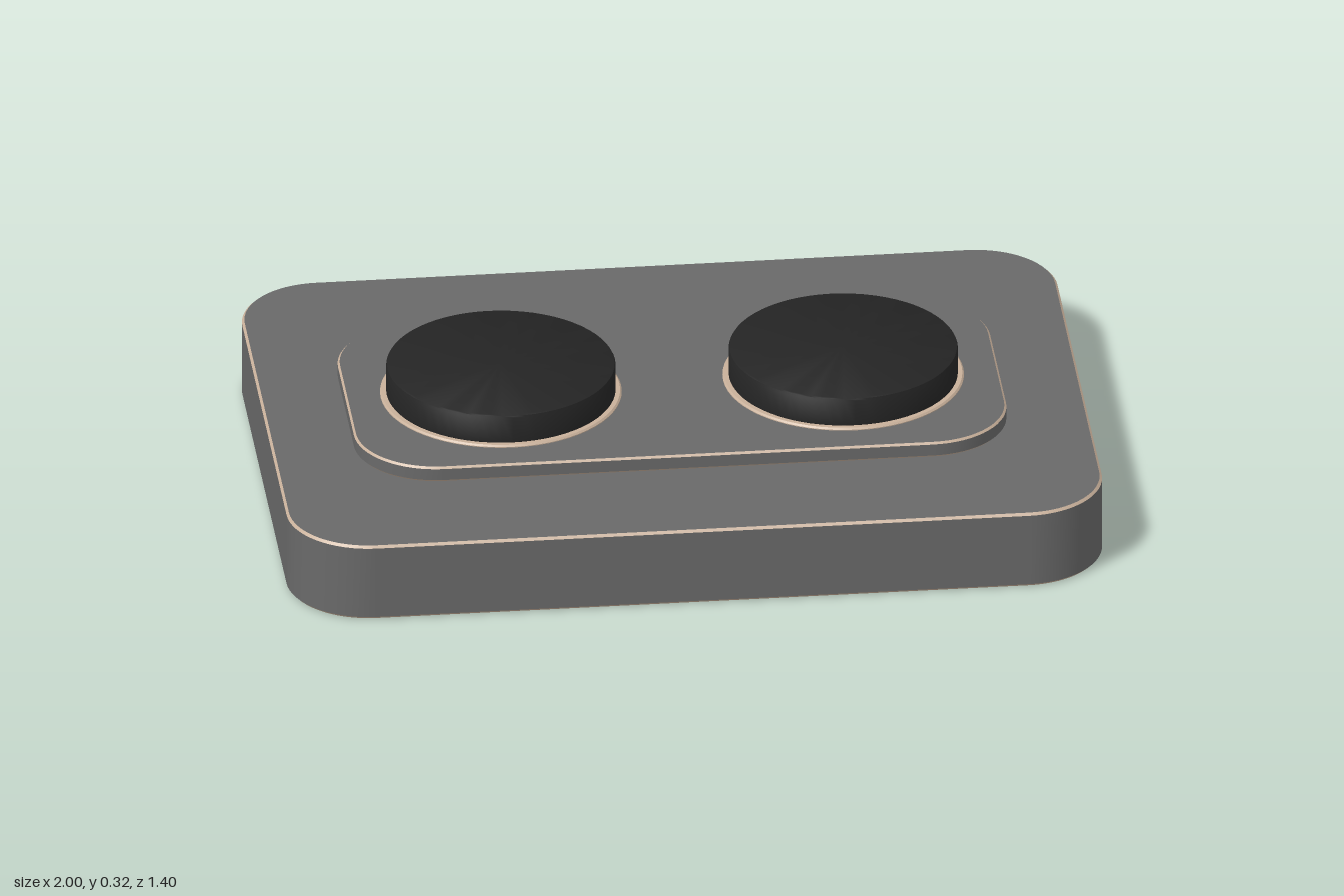
import * as THREE from 'three';
import { toCreasedNormals } from 'three/addons/utils/BufferGeometryUtils.js';

const grey = new THREE.MeshStandardMaterial({ color: 0x696969 });
const black = new THREE.MeshStandardMaterial({ color: 0x242424 });
const tan = new THREE.MeshStandardMaterial({ color: 0xc8b09a });

function addMesh(group, name, geometry, material) {
  const mesh = new THREE.Mesh(geometry, material);
  mesh.name = name;
  group.add(mesh);
  return mesh;
}

// Rounded rectangle outline, counter-clockwise
function outline(halfX, halfZ, radius, inset) {
  const points = [];
  const signs = [[1, 1], [-1, 1], [-1, -1], [1, -1]];
  signs.forEach(([sx, sz], corner) => {
    for (let k = 0; k <= 16; k++) {
      const a = (corner + k / 16) * Math.PI / 2;
      points.push(new THREE.Vector2(
        sx * (halfX - radius) + (radius - inset) * Math.cos(a),
        sz * (halfZ - radius) + (radius - inset) * Math.sin(a)));
    }
  });
  return points;
}

// Closed strip joining a lower outline to an upper one
function band(lower, y0, upper, y1) {
  const n = lower.length;
  const positions = [];
  const index = [];
  lower.forEach((p) => positions.push(p.x, y0, -p.y));
  upper.forEach((p) => positions.push(p.x, y1, -p.y));
  for (let i = 0; i < n; i++) {
    const j = (i + 1) % n;
    index.push(i, j, n + j, i, n + j, n + i);
  }
  const geometry = new THREE.BufferGeometry();
  geometry.setAttribute('position', new THREE.Float32BufferAttribute(positions, 3));
  geometry.setIndex(index);
  geometry.computeVertexNormals();
  return geometry;
}

// Rounded slab with thin trimmed edges at top and bottom
function slab(name, halfX, halfZ, radius, y0, y1, bevel) {
  const group = new THREE.Group();
  group.name = name;
  const full = outline(halfX, halfZ, radius, 0);
  const inner = outline(halfX, halfZ, radius, bevel);
  const cap = new THREE.Shape(inner);
  addMesh(group, 'wall', band(full, y0 + bevel, full, y1 - bevel), grey);
  addMesh(group, 'topTrim', band(full, y1 - bevel, inner, y1), tan);
  addMesh(group, 'bottomTrim', band(inner, y0, full, y0 + bevel), tan);
  addMesh(group, 'topFace', new THREE.ShapeGeometry(cap).rotateX(-Math.PI / 2).translate(0, y1, 0), grey);
  addMesh(group, 'bottomFace', new THREE.ShapeGeometry(cap).rotateX(Math.PI / 2).translate(0, y0, 0), grey);
  return group;
}

function turned(profile) {
  const points = profile.map(([r, y]) => new THREE.Vector2(r, y));
  return toCreasedNormals(new THREE.LatheGeometry(points, 64), 0.5);
}

export function createModel() {
  const model = new THREE.Group();
  model.name = 'twinButtonPanel';

  // Base and raised plate
  model.add(slab('base', 1, 0.7, 0.2, 0, 0.2, 0.006));
  model.add(slab('plate', 0.8, 0.38, 0.2, 0.2, 0.24, 0.005));

  // Two round buttons, each on a thin collar
  for (const side of [-1, 1]) {
    const button = new THREE.Group();
    button.name = side > 0 ? 'leftButton' : 'rightButton';
    button.position.x = side * 0.42;
    addMesh(button, 'collar', turned([[0, 0.236], [0.295, 0.236], [0.295, 0.242], [0.291, 0.246], [0, 0.246]]), tan);
    addMesh(button, 'cap', turned([
      [0, 0.24], [0.275, 0.24], [0.28, 0.247], [0.28, 0.314], [0.278, 0.318], [0.274, 0.32], [0, 0.32],
    ]), black);
    model.add(button);
  }
  return model;
}
